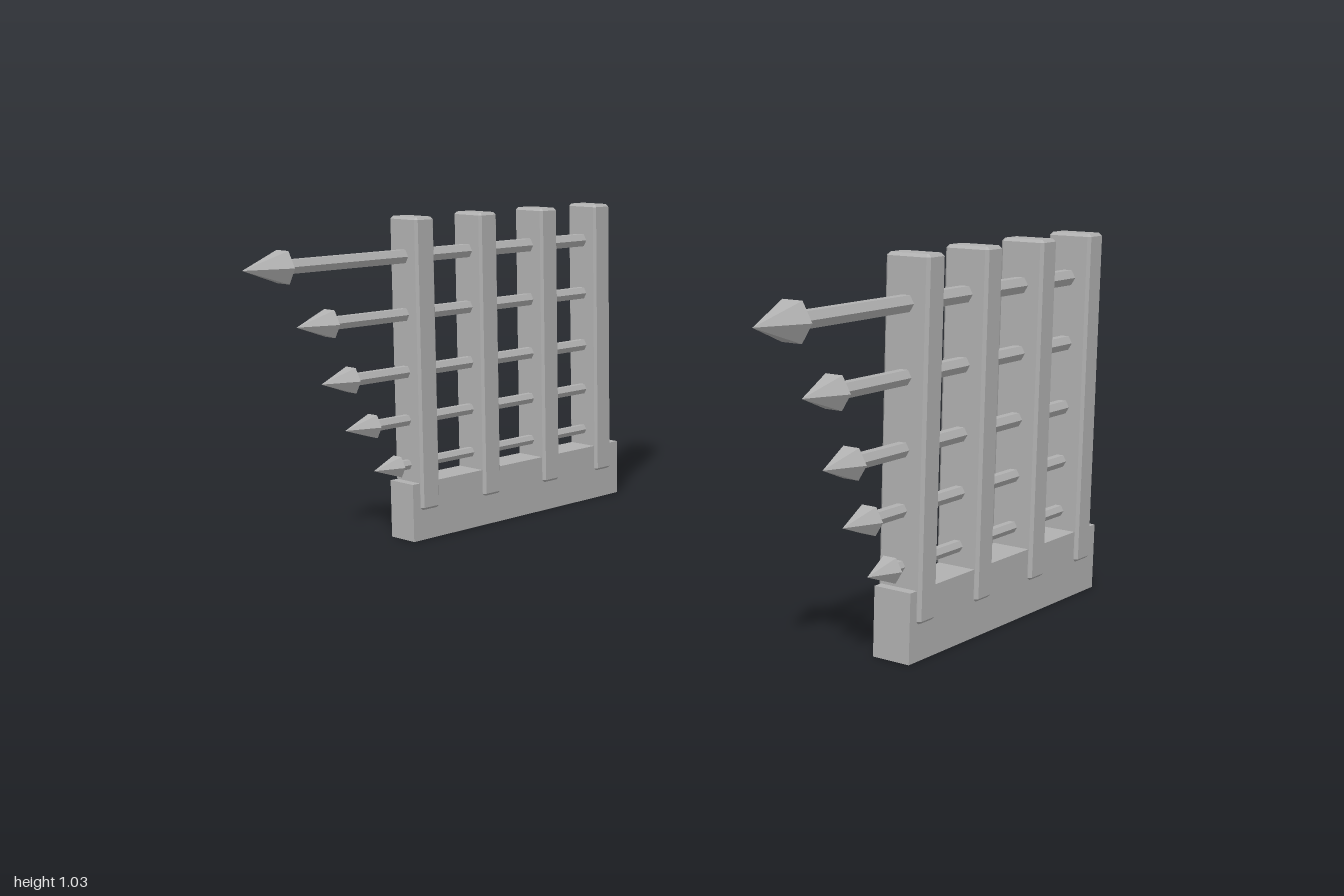
import * as THREE from 'three';

const steel = new THREE.MeshStandardMaterial({ color: 0xb0b0b0, flatShading: true });
steel.name = 'grey steel';

function add(parent, geometry, name, x, y, z) {
  const mesh = new THREE.Mesh(geometry, steel);
  mesh.name = name;
  mesh.position.set(x, y, z);
  parent.add(mesh);
}

// Upright block standing on its origin, with every edge chamfered
function chamferedPost(width, height, depth, c) {
  const w = width / 2, d = depth / 2;
  const shape = new THREE.Shape([
    [w - c, -d], [w, -d + c], [w, d - c], [w - c, d],
    [-w + c, d], [-w, d - c], [-w, -d + c], [-w + c, -d],
  ].map(([x, y]) => new THREE.Vector2(x, y)));
  return new THREE.ExtrudeGeometry(shape, {
    depth: height - 2 * c, bevelEnabled: true, bevelSegments: 1,
    bevelThickness: c, bevelSize: c, bevelOffset: -c,
  }).rotateX(-Math.PI / 2).translate(0, c, 0);
}

// Six-sided rod or cone along +z, with corners at the left and right
function hexBar(rFront, rBack, z0, z1) {
  return new THREE.CylinderGeometry(rFront, rBack, z1 - z0, 6)
    .rotateY(Math.PI / 6).rotateX(Math.PI / 2).translate(0, 0, (z0 + z1) / 2);
}

const POSTS = [0.122, -0.148, -0.425, -0.682];
// height, tip z, head base z, head radius, shaft radius
const SPEARS = [
  [0.905, 0.765, 0.62, 0.057, 0.024],
  [0.722, 0.58, 0.455, 0.049, 0.022],
  [0.54, 0.495, 0.38, 0.046, 0.021],
  [0.385, 0.41, 0.30, 0.042, 0.019],
  [0.241, 0.302, 0.205, 0.038, 0.017],
];

function createRack(name) {
  const rack = new THREE.Group();
  rack.name = name;
  add(rack, new THREE.BoxGeometry(0.108, 0.186, 0.952), 'base', 0, 0.093, -0.286);

  const post = chamferedPost(0.128, 0.93, 0.077, 0.008);
  for (const z of POSTS) add(rack, post, 'post', 0, 0.098, z);

  // Spears run through all the posts, longest at the top
  for (const [y, tip, neck, headR, shaftR] of SPEARS) {
    const spear = new THREE.Group();
    spear.name = 'spear';
    add(spear, hexBar(shaftR, shaftR, -0.68, neck + 0.005), 'shaft', 0, y, 0);
    add(spear, hexBar(0, headR, neck, tip), 'spearHead', 0, y, 0);
    rack.add(spear);
  }
  return rack;
}

export function createModel() {
  const model = new THREE.Group();
  model.name = 'spearRacks';
  for (const [name, x] of [['rightRack', -0.935], ['leftRack', 0.935]]) {
    const rack = createRack(name);
    rack.position.x = x;
    model.add(rack);
  }
  return model;
}
